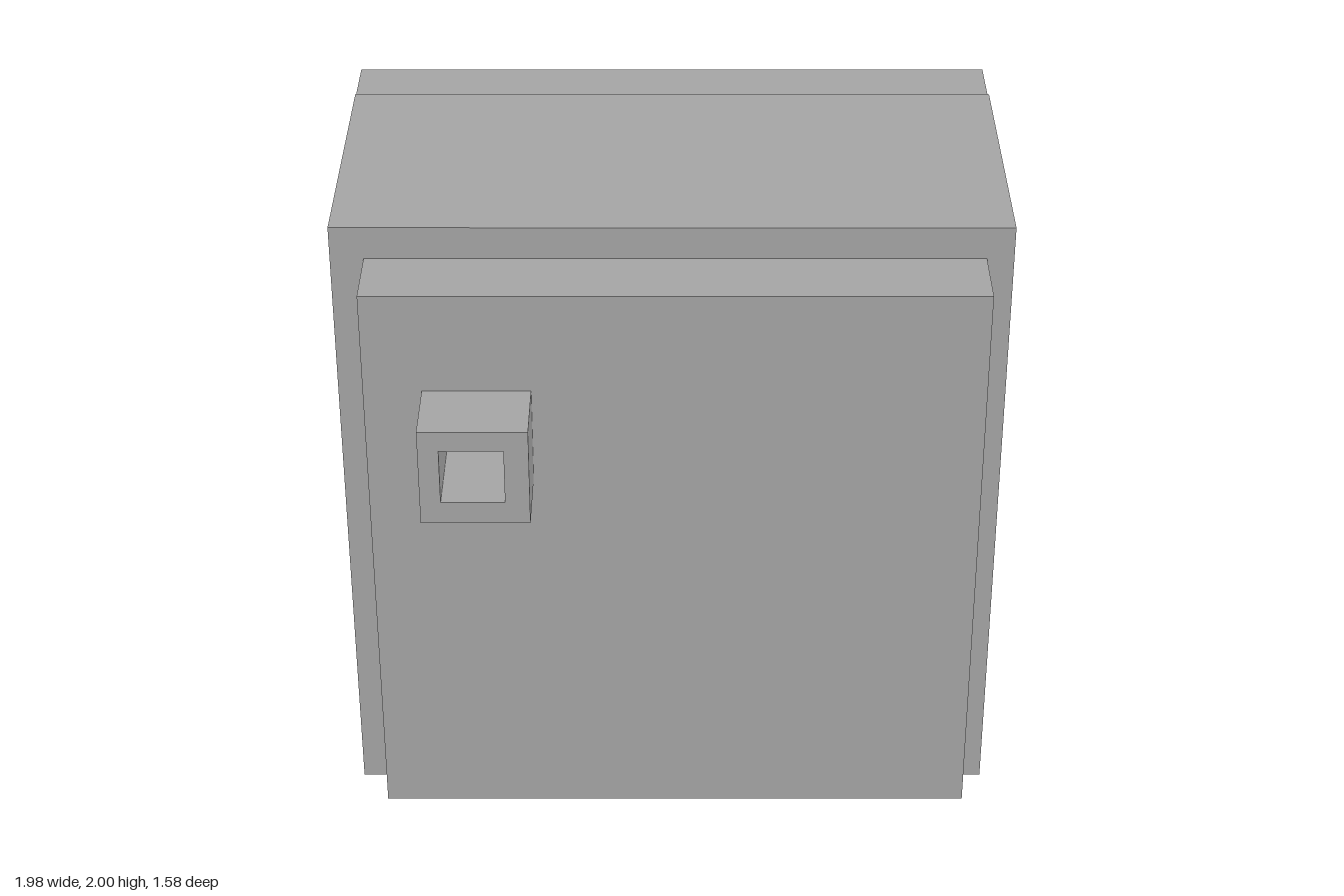
import * as THREE from 'three';

const material = new THREE.MeshStandardMaterial({ color: 0xa5a5a5 });

function add(group, name, geometry) {
  const mesh = new THREE.Mesh(geometry, material);
  mesh.name = name;
  group.add(mesh);
}

// Box given by its extents along each axis
function box([x0, x1], [y0, y1], [z0, z1]) {
  return new THREE.BoxGeometry(x1 - x0, y1 - y0, z1 - z0)
    .translate((x0 + x1) / 2, (y0 + y1) / 2, (z0 + z1) / 2);
}

const outline = (points) => new THREE.Shape(points.map(([x, y]) => new THREE.Vector2(x, y)));
const rect = (x0, x1, y0, y1) => outline([[x0, y0], [x1, y0], [x1, y1], [x0, y1]]);
const extrude = (shape, depth) => new THREE.ExtrudeGeometry(shape, { depth, bevelEnabled: false });

export function createModel() {
  const group = new THREE.Group();
  group.name = 'cabinet';

  const X = 0.988, Y0 = 0.022, Y1 = 2, BACK = -0.56, FRONT = 0.335, DOOR = 0.56, T = 0.075;

  // Back plate, slightly lower than the hollow body
  add(group, 'backPlate', box([-X - 0.002, X], [0, 1.98], [-0.787, BACK]));

  // Top, closed side and bottom of the body as one channel
  const channel = outline([
    [X - T, Y0], [X - T, Y0 + T], [-X + T, Y0 + T], [-X + T, Y1 - T],
    [X - T, Y1 - T], [X - T, Y1], [-X, Y1], [-X, Y0],
  ]);
  add(group, 'bodyShell', extrude(channel, FRONT - BACK).translate(0, 0, BACK));

  // Front wall closing the channel
  add(group, 'bodyFront', box([-X + T, X - T], [Y0 + T, Y1 - T], [FRONT - T, FRONT]));

  // Side wall with a window that reaches the back plate (shape x is -z)
  const w0 = 0.715, w1 = 1.326, wFront = -0.225;
  const side = outline([
    [-FRONT, Y0], [-BACK, Y0], [-BACK, w0], [wFront, w0],
    [wFront, w1], [-BACK, w1], [-BACK, Y1], [-FRONT, Y1],
  ]);
  add(group, 'windowSide', extrude(side, T).rotateY(Math.PI / 2).translate(X - T, 0, 0));

  // Door panel, with the square bore of the handle running on through it
  const bore = rect(-0.66, -0.476, 1.356, 1.526);
  const door = rect(-0.89, 0.909, 0.103, 1.9);
  door.holes.push(bore);
  add(group, 'door', extrude(door, DOOR - FRONT).translate(0, 0, FRONT));

  // Square hollow handle
  const handle = rect(-0.72, -0.405, 1.286, 1.59);
  handle.holes.push(bore);
  add(group, 'handle', extrude(handle, 0.229).translate(0, 0, DOOR));

  return group;
}
